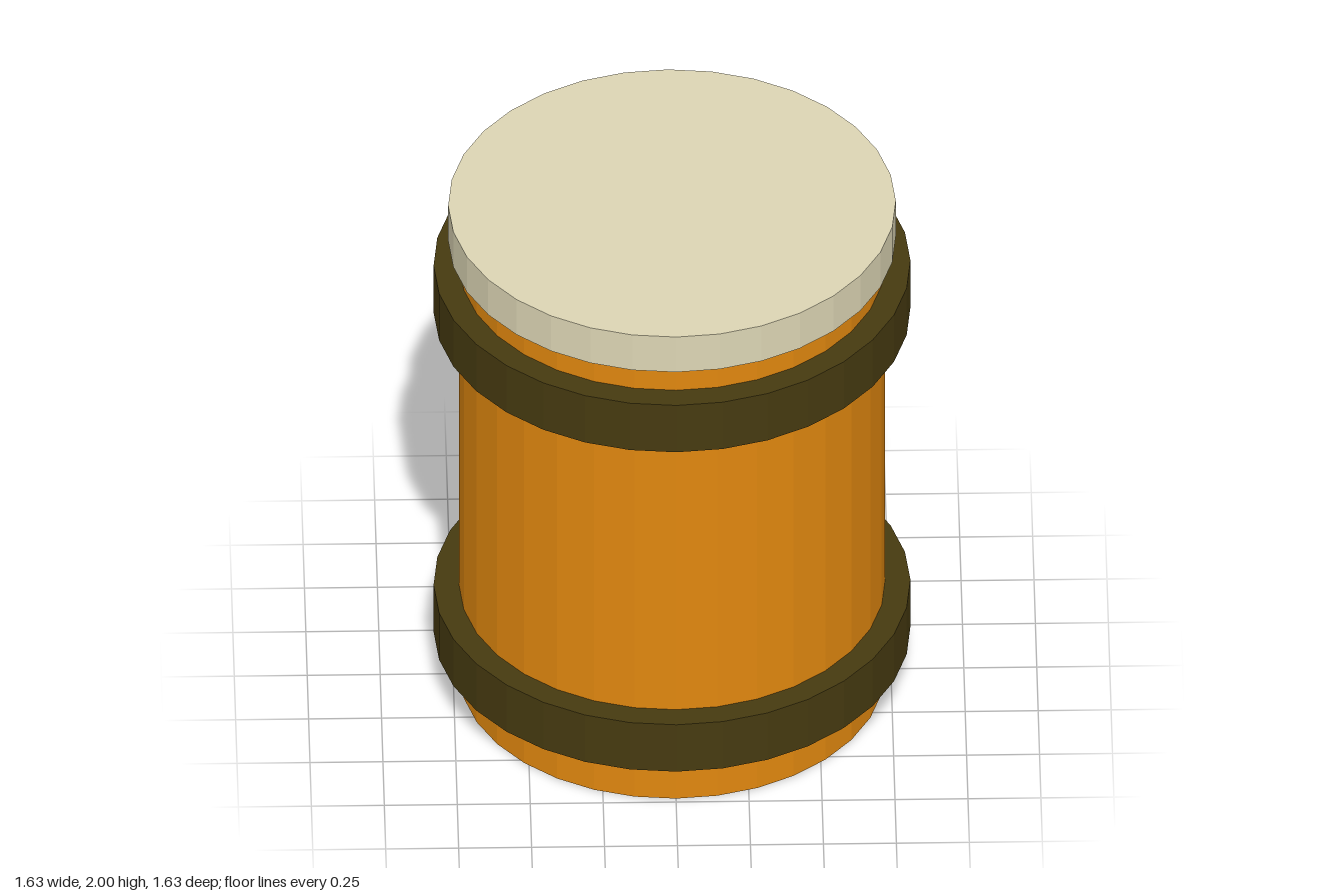
import * as THREE from 'three';

const SIDES = 32;

const material = (name, color) => {
  const m = new THREE.MeshStandardMaterial({ color, flatShading: true });
  m.name = name;
  return m;
};

export function createModel() {
  const model = new THREE.Group();
  model.name = 'barrel';

  const orange = material('orange', 0xe0870f);
  const darkBrown = material('dark brown', 0x463a10);
  const cream = material('cream', 0xdcd5b4);

  const add = (name, geometry, mat, y = 0) => {
    const mesh = new THREE.Mesh(geometry, mat);
    mesh.name = name;
    mesh.position.y = y;
    model.add(mesh);
  };

  const drum = (radius, height) =>
    new THREE.CylinderGeometry(radius, radius, height, SIDES);

  // Ring with a rectangular section, its base at y = 0
  const ring = (inner, outer, height) =>
    new THREE.LatheGeometry(
      [[inner, 0], [outer, 0], [outer, height], [inner, height]]
        .map(([x, y]) => new THREE.Vector2(x, y)),
      SIDES
    );

  // Body runs up into the lid
  add('body', drum(0.73, 1.9), orange, 0.95);

  // Lid
  add('lid', drum(0.767, 0.15), cream, 1.925);

  // Hoops around the body
  add('lowerHoop', ring(0.72, 0.817, 0.2), darkBrown, 0.18);
  add('upperHoop', ring(0.72, 0.817, 0.2), darkBrown, 1.545);

  return model;
}
